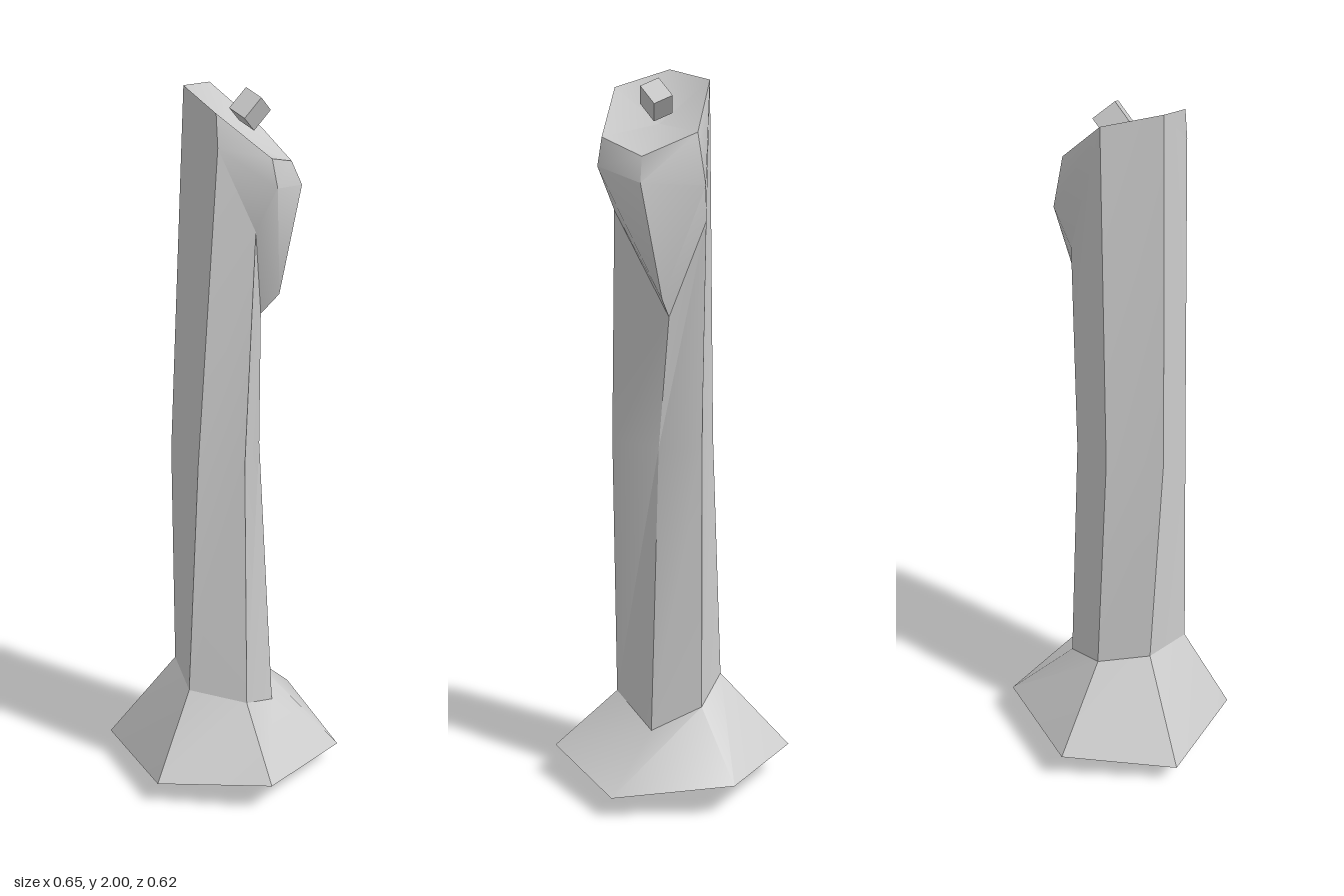
import * as THREE from 'three';
import { toCreasedNormals } from 'three/addons/utils/BufferGeometryUtils.js';

const material = new THREE.MeshStandardMaterial({ color: 0xcccccc, side: THREE.DoubleSide });

// Mesh from polygons, each a list of corner points fanned into triangles
function facetMesh(name, polygons) {
  const positions = [];
  for (const p of polygons)
    for (let i = 1; i < p.length - 1; i++) positions.push(...p[0], ...p[i], ...p[i + 1]);
  const geometry = new THREE.BufferGeometry();
  geometry.setAttribute('position', new THREE.Float32BufferAttribute(positions, 3));
  const mesh = new THREE.Mesh(toCreasedNormals(geometry, 0.7), material);
  mesh.name = name;
  return mesh;
}

// Quads joining two six-point rings
const band = (low, up) => low.map((p, i) => {
  const j = (i + 1) % low.length;
  return [low[j], p, up[i], up[j]];
});

// Triangles joining a ring to a single point
const cone = (ring, tip) => ring.map((p, i) => [ring[(i + 1) % ring.length], p, tip]);

export function createModel() {
  const group = new THREE.Group();

  // Rings run back, right, front, left as seen from above
  const foot = [[0.123, 0.09, -0.31], [0.324, 0.095, -0.04], [0.19, 0.06, 0.27],
    [-0.145, 0.09, 0.308], [-0.325, 0.065, 0.037], [-0.21, 0.06, -0.272]];
  const neck = [[0.045, 0.31, -0.128], [0.14, 0.26, -0.025], [0.085, 0.19, 0.105],
    [-0.07, 0.26, 0.145], [-0.19, 0.31, 0.034], [-0.105, 0.33, -0.103]];
  const middle = [[0.02, 1.0, -0.112], [0.113, 1.0, -0.035], [0.06, 1.0, 0.07],
    [-0.085, 1.0, 0.147], [-0.175, 1.0, 0.06], [-0.133, 1.0, -0.081]];
  const rim = [[0.035, 1.98, -0.09], [0.145, 1.855, -0.005], [0.105, 1.795, 0.135],
    [-0.035, 1.835, 0.19], [-0.15, 1.955, 0.105], [-0.115, 2.0, -0.04]];

  // Outer lip below the rim, and the pointed underside of the spout
  const lipRight = [0.168, 1.72, -0.018], lipFront = [0.13, 1.73, 0.15];
  const lipLeft = [-0.03, 1.76, 0.205], lipBack = [-0.155, 1.87, 0.115];
  const tip = [0.12, 1.42, 0.085];
  const stemTop = [rim[0], [0.12, 1.62, -0.042], [0.085, 1.365, 0.05],
    [-0.05, 1.64, 0.15], lipBack, rim[5]];

  // Flared six-sided foot with a shallow pointed underside
  group.add(facetMesh('foot', [
    ...band(foot, neck),
    ...foot.map((p, i) => [[0, 0, 0], p, foot[(i + 1) % 6]]),
  ]));

  // Slightly bent hexagonal stem
  group.add(facetMesh('stem', [...band(neck, middle), ...band(middle, stemTop)]));

  // Overhanging spout at the front of the top
  const [, right, front, left] = stemTop;
  group.add(facetMesh('spout', [
    [left, front, tip, lipLeft],
    [front, right, lipRight, tip],
    [right, rim[0], lipRight],
    [tip, lipRight, lipFront],
    [tip, lipFront, lipLeft],
    [lipBack, left, lipLeft],
    [lipRight, rim[0], rim[1]],
    [lipFront, lipRight, rim[1], rim[2]],
    [lipLeft, lipFront, rim[2], rim[3]],
    [lipBack, lipLeft, rim[3], rim[4]],
    [rim[5], lipBack, rim[4]],
  ]));

  // Shallow dished opening
  group.add(facetMesh('cup', cone(rim, [-0.022, 1.865, 0.03])));

  // Small tilted block sitting in the opening
  const block = new THREE.Mesh(new THREE.BoxGeometry(0.071, 0.068, 0.056), material);
  const across = new THREE.Vector3(0.055, -0.043, -0.016).normalize();
  const along = new THREE.Vector3(0.043, 0.049, 0.018);
  const depth = across.clone().cross(along).normalize();
  along.crossVectors(depth, across);
  block.quaternion.setFromRotationMatrix(new THREE.Matrix4().makeBasis(across, along, depth));
  block.position.set(0.026, 1.932, 0.06);
  block.name = 'block';
  group.add(block);

  return group;
}
